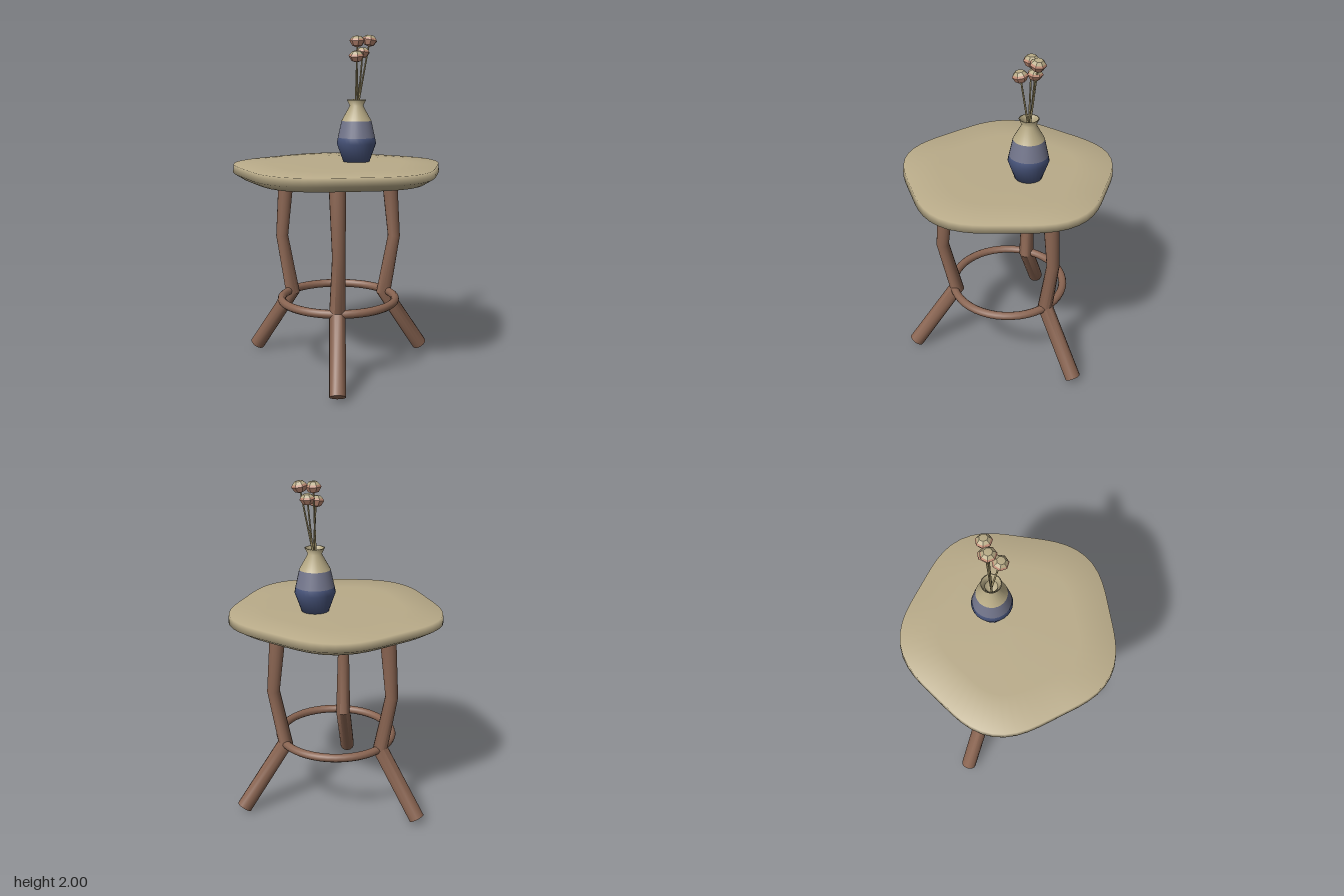
import * as THREE from 'three';
import { mergeVertices, toCreasedNormals } from 'three/addons/utils/BufferGeometryUtils.js';

const material = (name, color, side = THREE.FrontSide) => {
  const m = new THREE.MeshStandardMaterial({ color, side });
  m.name = name;
  return m;
};
const points = (list) => list.map(([x, y]) => new THREE.Vector2(x, y));

function makeMesh(name, geometry, mat) {
  const mesh = new THREE.Mesh(geometry, mat);
  mesh.name = name;
  return mesh;
}

// Rounded pentagonal slab: a lathe whose radius swells at five corners
function tableTopGeometry() {
  let geo = new THREE.LatheGeometry(points([
    [0, 1.16], [0.38, 1.16], [0.555, 1.16], [0.613, 1.195], [0.608, 1.243], [0.4, 1.25], [0, 1.25],
  ]), 60);
  const p = geo.attributes.position;
  for (let i = 0; i < p.count; i++) {
    const x = p.getX(i), z = p.getZ(i);
    const k = 1 + 0.042 * Math.cos(5 * Math.atan2(x, -z));
    p.setX(i, x * k);
    p.setZ(i, z * k);
  }
  geo.deleteAttribute('uv');
  geo.deleteAttribute('normal');
  geo = mergeVertices(geo);
  geo.computeVertexNormals();
  return geo;
}

// Bent branch: each ring of a capped cylinder is moved onto a path point (bottom to top)
function branchGeometry(path, radii) {
  const pts = path.map((a) => new THREE.Vector3(...a));
  const n = pts.length - 1;
  const geo = new THREE.CylinderGeometry(1, 1, 1, 14, n);
  const p = geo.attributes.position;
  const rings = pts.map((c, i) => {
    const d = pts[Math.min(i + 1, n)].clone().sub(pts[Math.max(i - 1, 0)]).normalize();
    const u = new THREE.Vector3(1, 0, 0).addScaledVector(d, -d.x).normalize();
    return { c, u, v: u.clone().cross(d), r: radii[i] };
  });
  for (let i = 0; i < p.count; i++) {
    const { c, u, v, r } = rings[Math.round((p.getY(i) + 0.5) * n)];
    const q = c.clone().addScaledVector(u, p.getX(i) * r).addScaledVector(v, p.getZ(i) * r);
    p.setXYZ(i, q.x, q.y, q.z);
  }
  return toCreasedNormals(geo, 0.75);
}

export function createModel() {
  const model = new THREE.Group();
  model.name = 'sideTableWithVase';
  const cream = material('cream', 0xb9ab89);
  const wood = material('wood', 0x8a6552);
  const navy = material('navyGlaze', 0x4b5880);
  const slate = material('slateGlaze', 0x73768c);
  const clay = material('clay', 0xb8ab86, THREE.DoubleSide);
  const stemTan = material('stemTan', 0x9c8e66);
  const pink = material('petalPink', 0xc48f78);

  model.add(makeMesh('tableTop', tableTopGeometry(), cream));

  // Three bent legs
  const legs = {
    frontLeg: [[-0.077, 0.03, 0.597], [-0.046, 0.42, 0.325], [-0.047, 0.77, 0.402], [-0.05, 1.15, 0.362]],
    leftLeg: [[0.56, 0.03, -0.235], [0.305, 0.42, -0.138], [0.37, 0.77, -0.155], [0.335, 1.15, -0.143]],
    rightLeg: [[-0.485, 0.03, -0.365], [-0.265, 0.42, -0.215], [-0.325, 0.77, -0.243], [-0.295, 1.15, -0.245]],
  };
  for (const [name, path] of Object.entries(legs)) {
    model.add(makeMesh(name, branchGeometry(path, [0.047, 0.047, 0.038, 0.048]), wood));
  }

  // Hoop joining the legs
  const hoop = makeMesh('hoopStretcher', new THREE.TorusGeometry(0.345, 0.025, 10, 48), wood);
  hoop.rotation.x = Math.PI / 2;
  hoop.position.y = 0.423;
  model.add(hoop);

  // Vase in three glaze bands
  const vase = new THREE.Group();
  vase.name = 'vase';
  vase.position.set(0.12, 1.25, -0.083);
  const bands = [
    ['vaseBase', navy, [[0, 0], [0.08, 0], [0.119, 0.11], [0.112, 0.145]]],
    ['vaseBody', slate, [[0.112, 0.145], [0.09, 0.245]]],
    ['vaseNeck', clay, [[0.09, 0.245], [0.04, 0.335], [0.058, 0.37], [0.05, 0.37], [0.034, 0.335], [0.05, 0.27], [0, 0.25]]],
  ];
  for (const [name, mat, profile] of bands) {
    vase.add(makeMesh(name, new THREE.LatheGeometry(points(profile), 28), mat));
  }
  model.add(vase);

  // Dried flowers: a stem, a pink cup and a pale crown each
  const cup = toCreasedNormals(new THREE.LatheGeometry(points([[0, -0.035], [0.03, -0.026], [0.047, 0.004], [0.04, 0.016]]), 7), 0.3);
  const crown = toCreasedNormals(new THREE.LatheGeometry(points([[0.04, 0.016], [0.024, 0.031], [0, 0.033]]), 7), 0.3);
  const heads = [
    [0.125, 1.963, -0.09, 1], [0.2, 1.967, -0.1, 1], [0.158, 1.897, -0.1, 0.95], [0.112, 1.875, -0.032, 1],
  ];
  const up = new THREE.Vector3(0, 1, 0);
  heads.forEach(([x, y, z, s], i) => {
    const flower = new THREE.Group();
    flower.name = 'flower' + (i + 1);
    const tip = new THREE.Vector3(x, y, z);
    const root = new THREE.Vector3(0.113 + 0.006 * i, 1.53, -0.083);
    const dir = tip.clone().sub(root);
    const stem = makeMesh('stem', new THREE.CylinderGeometry(0.005, 0.006, dir.length(), 6), stemTan);
    stem.position.copy(root).add(tip).multiplyScalar(0.5);
    stem.quaternion.setFromUnitVectors(up, dir.normalize());
    const head = new THREE.Group();
    head.name = 'flowerHead';
    head.position.copy(tip);
    head.quaternion.copy(stem.quaternion);
    head.scale.setScalar(s);
    head.add(makeMesh('petalCup', cup, pink), makeMesh('petalCrown', crown, clay));
    flower.add(stem, head);
    model.add(flower);
  });

  return model;
}
